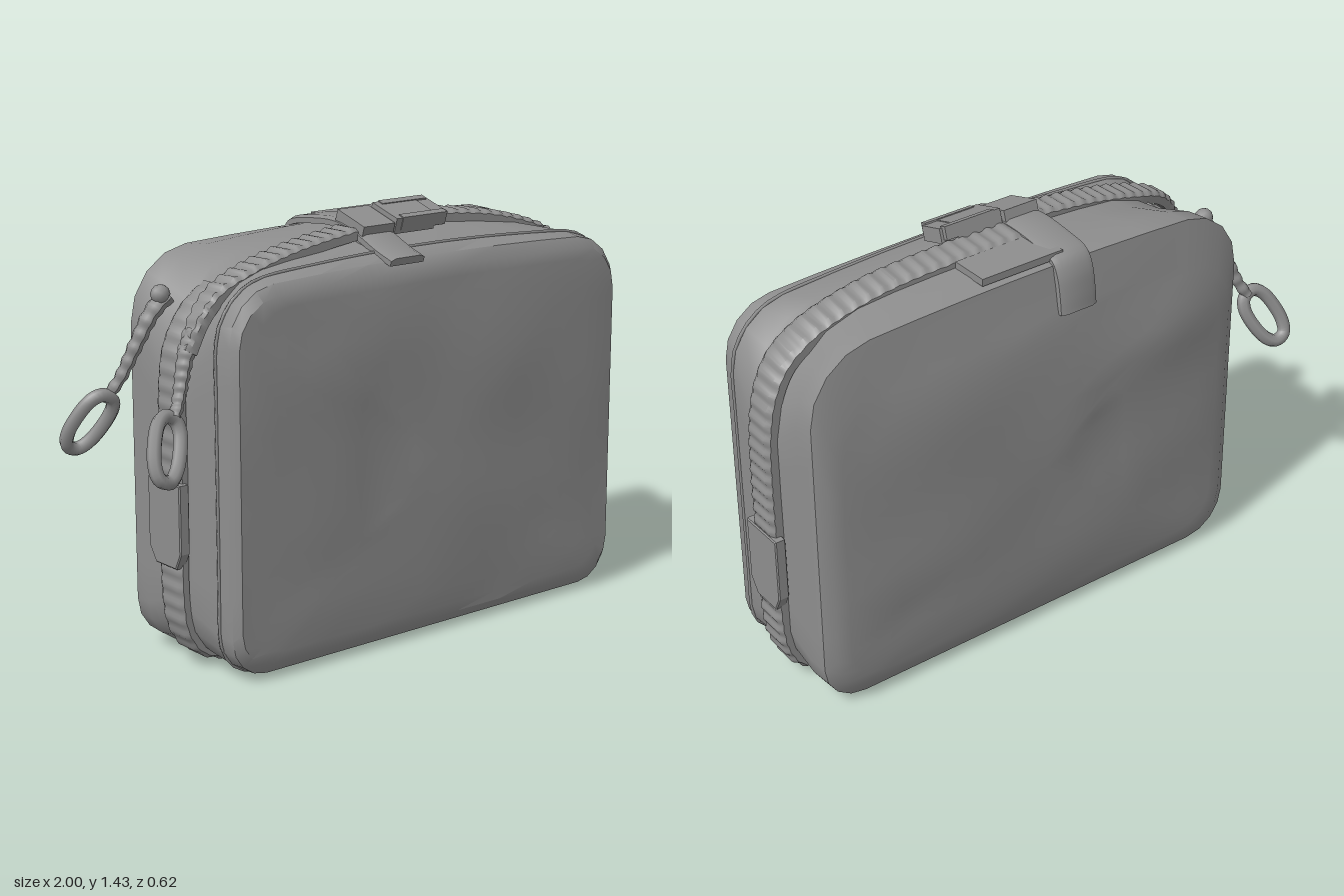
import * as THREE from 'three';
import { toCreasedNormals } from 'three/addons/utils/BufferGeometryUtils.js';

const V = (x, y, z) => new THREE.Vector3(x, y, z);
const Z = V(0, 0, 1), X = V(1, 0, 0);

// Skin a list of closed rings (arrays of Vector3) into one surface
function loft(rings, crease, capEnds) {
  const n = rings[0].length, pos = [], idx = [];
  rings.forEach(r => r.forEach(p => pos.push(p.x, p.y, p.z)));
  for (let i = 0; i < rings.length - 1; i++) {
    for (let j = 0; j < n; j++) {
      const a = i * n + j, b = i * n + (j + 1) % n;
      idx.push(a, a + n, b, b, a + n, b + n);
    }
  }
  if (capEnds) {
    const e = (rings.length - 1) * n;
    for (let j = 1; j < n - 1; j++) idx.push(0, j, j + 1, e, e + j + 1, e + j);
  }
  const g = new THREE.BufferGeometry();
  g.setAttribute('position', new THREE.Float32BufferAttribute(pos, 3));
  g.setIndex(idx);
  return toCreasedNormals(g, crease);
}

// Rounded outline of the pouch at depth z, with a bowed top edge
function outline({ z, x0, x1, y0, y1, rt, rb, bow }) {
  const pts = [], cx = (x0 + x1) / 2, hw = (x1 - x0) / 2;
  const corners = [[x1 - rb, y0 + rb, rb, -90], [x1 - rt, y1 - rt, rt, 0],
    [x0 + rt, y1 - rt, rt, 90], [x0 + rb, y0 + rb, rb, 180]];
  const arc = corners.map(([x, y, r, a]) => [0, 1, 2, 3, 4].map(k => {
    const t = THREE.MathUtils.degToRad(a + k * 22.5);
    return V(x + r * Math.cos(t), y + r * Math.sin(t), z);
  }));
  arc.forEach((c, i) => {
    pts.push(...c);
    const next = arc[(i + 1) % 4][0];
    for (let k = 1; k < 7; k++) pts.push(c[4].clone().lerp(next, k / 7));
  });
  pts.forEach(p => {
    const up = THREE.MathUtils.smoothstep(p.y, y0 + 0.5, y1);
    p.y += bow * up * (1 - ((p.x - cx) / hw) ** 2);
  });
  return pts;
}

// Flat strap swept along a path; ribs ripple its outer face
function strapGeometry(points, side, width, thick, ribs = 0, steps = 48, taper = 1) {
  const curve = new THREE.CatmullRomCurve3(points.map(p => V(...p)), false, 'centripetal');
  const rings = [];
  for (let i = 0; i <= steps; i++) {
    const u = i / steps, c = curve.getPointAt(u), t = curve.getTangentAt(u);
    const n = side.clone().cross(t).normalize(), w = t.clone().cross(n);
    const k = THREE.MathUtils.lerp(taper, 1, Math.min(1, u * 3));
    const h = thick * (1 + (ribs ? 0.2 * Math.sin(u * ribs * Math.PI * 2) : 0)), hw = width / 2 * k;
    rings.push([[-hw, -thick], [hw, -thick], [hw, h * 0.4], [hw * 0.7, h], [-hw * 0.7, h], [-hw, h * 0.4]]
      .map(([a, b]) => c.clone().addScaledVector(w, a).addScaledVector(n, b)));
  }
  // reversed so the faces point outwards
  return loft(rings.map(r => r.reverse()), 0.7, true);
}

export function createModel() {
  const model = new THREE.Group();
  model.name = 'zippedPouch';
  const fabric = new THREE.MeshStandardMaterial({ color: 0x8e8e8e, side: THREE.DoubleSide });
  fabric.name = 'grey fabric';
  const add = (name, geometry, parent = model) => {
    const m = new THREE.Mesh(geometry, fabric);
    m.name = name;
    parent.add(m);
    return m;
  };

  // Pouch body, from front panel edge to back panel edge
  const st = (z, x0, x1, y0, y1, rt, rb, bow) => ({ z, x0, x1, y0, y1, rt, rb, bow });
  const front = st(0.28, -0.695, 0.915, 0.05, 1.22, 0.15, 0.12, 0.015);
  const back = st(-0.272, -0.69, 0.91, 0.06, 1.14, 0.2, 0.14, 0.05);
  const frontSeam = st(0.2, -0.725, 0.945, 0.012, 1.255, 0.19, 0.14, 0.045);
  const sections = [front,
    st(0.255, -0.715, 0.935, 0.015, 1.25, 0.17, 0.13, 0.025), frontSeam,
    st(0.1, -0.735, 0.955, 0.01, 1.245, 0.26, 0.18, 0.08),
    st(0.04, -0.735, 0.952, 0.01, 1.245, 0.32, 0.2, 0.09),
    st(-0.06, -0.738, 0.952, 0.01, 1.255, 0.31, 0.2, 0.09),
    st(-0.17, -0.738, 0.952, 0.01, 1.29, 0.25, 0.16, 0.055),
    st(-0.245, -0.73, 0.945, 0.015, 1.3, 0.22, 0.15, 0.03), back].map(outline);
  // Crumpled panel: the outline shrunk to its middle, domed, with soft dents and folds
  const dimples = [[-0.15, 0.66, 0.06, 0.2, -0.02], [-0.38, 0.95, 0.2, 0.1, 0.012],
    [0.65, 0.28, 0.16, 0.1, -0.012], [-0.4, 0.3, 0.2, 0.12, -0.01], [0.4, 0.9, 0.25, 0.2, 0.006]];
  const panel = (s, k, dome) => outline(s).map(p => {
    const d = Math.sign(s.z), x = 0.11 + (p.x - 0.11) * k, y = 0.62 + (p.y - 0.62) * k;
    const lump = dimples.reduce((sum, [a, b, w, h, amount]) =>
      sum + amount * Math.exp(-(((x * d - a * d) / w) ** 2) - ((y - b) / h) ** 2), 0);
    const ripple = 0.004 * Math.sin(9 * x + 4 * y + d) * Math.cos(8 * y - 3 * x);
    return V(x, y, s.z + d * (dome * (1 - k ** 4) + lump + ripple));
  });
  const scales = [0, 0.14, 0.28, 0.42, 0.56, 0.7, 0.83, 0.94];
  add('pouchBody', loft([...scales.map(k => panel(front, k, 0.017)), ...sections,
    ...scales.slice().reverse().map(k => panel(back, k, 0.03))], 0.6, false));

  // Sewn seam around the front edge
  add('frontSeam', new THREE.TubeGeometry(
    new THREE.CatmullRomCurve3(outline(frontSeam), true), 120, 0.006, 5, true));

  // Ribbed zip straps over the top and down both sides
  add('rightZipStrap', strapGeometry([[0, 1.355, -0.03], [0.3, 1.35, -0.025], [0.55, 1.325, -0.01],
    [0.74, 1.275, 0], [0.83, 1.235, 0], [0.895, 1.175, 0.005], [0.94, 1.09, 0.005], [0.965, 0.97, 0.005],
    [0.972, 0.8, 0.005], [0.97, 0.5, 0.005], [0.968, 0.24, 0.005], [0.95, 0.135, 0.005],
    [0.905, 0.06, 0.005], [0.83, 0.025, 0.005], [0.76, 0.022, 0.005]], Z, 0.125, 0.02, 46, 230));
  add('leftZipStrap', strapGeometry([[-0.54, 0.02, 0], [-0.62, 0.028, 0], [-0.69, 0.062, 0], [-0.735, 0.13, 0],
    [-0.752, 0.22, 0], [-0.752, 0.6, 0], [-0.75, 0.94, 0], [-0.725, 1.06, 0], [-0.66, 1.16, 0],
    [-0.58, 1.22, 0]], Z, 0.12, 0.016, 26, 130));
  add('topZipStrap', strapGeometry([[-0.79, 1.06, 0.14], [-0.735, 1.15, 0.125], [-0.66, 1.215, 0.105],
    [-0.55, 1.26, 0.09], [-0.35, 1.31, 0.075], [-0.05, 1.35, 0.065], [0.1, 1.365, 0.07]],
  Z, 0.11, 0.02, 22, 110, 0.5));

  // Stiff tabs on the two sides
  for (const [name, x, y, s] of [['leftSideTab', 0.978, 0, 1], ['rightSideTab', -0.765, 0.03, -1]]) {
    const shape = new THREE.Shape([[-0.055, 0.32], [0.05, 0.32], [0.075, 0.37], [0.075, 0.59],
      [-0.088, 0.59], [-0.088, 0.37]].map(p => new THREE.Vector2(...p)));
    const g = new THREE.ExtrudeGeometry(shape, { depth: 0.03, bevelSize: 0.004, bevelThickness: 0.004, bevelSegments: 1 });
    g.translate(0, 0, -0.015).rotateY(s * Math.PI / 2);
    add(name, g).position.set(x, y, 0);
  }

  // Closing band across the top, with its buckle and stitched patch
  add('closingBand', strapGeometry([[-0.03, 1.275, 0.285], [-0.03, 1.3, 0.21], [-0.03, 1.345, 0.1],
    [-0.03, 1.368, 0], [-0.03, 1.36, -0.14], [-0.03, 1.34, -0.235], [-0.03, 1.3, -0.262],
    [-0.03, 1.23, -0.278], [-0.03, 1.17, -0.285]], X, 0.14, 0.013));
  add('bandPatch', new THREE.BoxGeometry(0.31, 0.025, 0.14)).position.set(0.145, 1.352, -0.16);
  const buckle = new THREE.Group();
  buckle.name = 'buckle';
  buckle.position.set(0.04, 1.37, 0.075);
  buckle.rotation.x = 0.3;
  model.add(buckle);
  const parts = [['buckleBase', 0.13, 0.065, 0.14, -0.07, -0.01], ['buckleBody', 0.17, 0.055, 0.13, 0.09, 0.006],
    ['buckleTip', 0.06, 0.05, 0.1, 0.2, 0.006]];
  for (const [name, w, h, d, x, y] of parts) {
    add(name, new THREE.BoxGeometry(w, h, d), buckle).position.set(x, y, 0);
  }
  for (const z of [-0.055, 0.055]) {
    add('buckleProng', new THREE.BoxGeometry(0.19, 0.045, 0.025), buckle).position.set(0.125, 0.014, z);
  }

  // Two hanging zip pulls: a twisted cord ending in an angular link
  const pull = (name, start, s) => {
    const g = new THREE.Group();
    g.name = name;
    model.add(g);
    const path = new THREE.CatmullRomCurve3([...start, [-0.835, 0.93, s * 0.16], [-0.865, 0.88, s * 0.18]]
      .map(p => V(...p)));
    const cord = new THREE.TubeGeometry(path, 60, 1, 8);
    const p = cord.attributes.position;
    for (let i = 0; i < p.count; i++) {
      const u = Math.floor(i / 9) / 60, c = path.getPointAt(u), v = V(0, 0, 0).fromBufferAttribute(p, i);
      v.sub(c).multiplyScalar(0.03 - 0.012 * u + 0.002 * Math.sin(u * 50)).add(c);
      p.setXYZ(i, v.x, v.y, v.z);
    }
    cord.computeVertexNormals();
    add('cord', cord, g);
    const d = V(-0.1, -0.2, s * 0.1).normalize(), w = d.clone().cross(Z).normalize();
    const loop = [[-0.1, -0.02], [-0.1, 0.02], [-0.065, 0.045], [0.055, 0.045],
      [0.1, 0.02], [0.1, -0.02], [0.055, -0.045], [-0.065, -0.045]]
      .map(([a, b]) => V(-0.917, 0.795, s * 0.212).addScaledVector(d, a).addScaledVector(w, b));
    add('link', new THREE.TubeGeometry(new THREE.CatmullRomCurve3(loop, true, 'centripetal'), 48, 0.023, 7, true), g);
  };
  pull('frontZipPull', [[-0.75, 1.12, 0.13], [-0.79, 1.06, 0.14]], 1);
  pull('backZipPull', [[-0.69, 1.19, -0.1], [-0.74, 1.14, -0.11], [-0.79, 1.04, -0.13]], -1);
  add('pullKnot', new THREE.IcosahedronGeometry(0.032, 1)).position.set(-0.715, 1.195, -0.1);

  return model;
}
